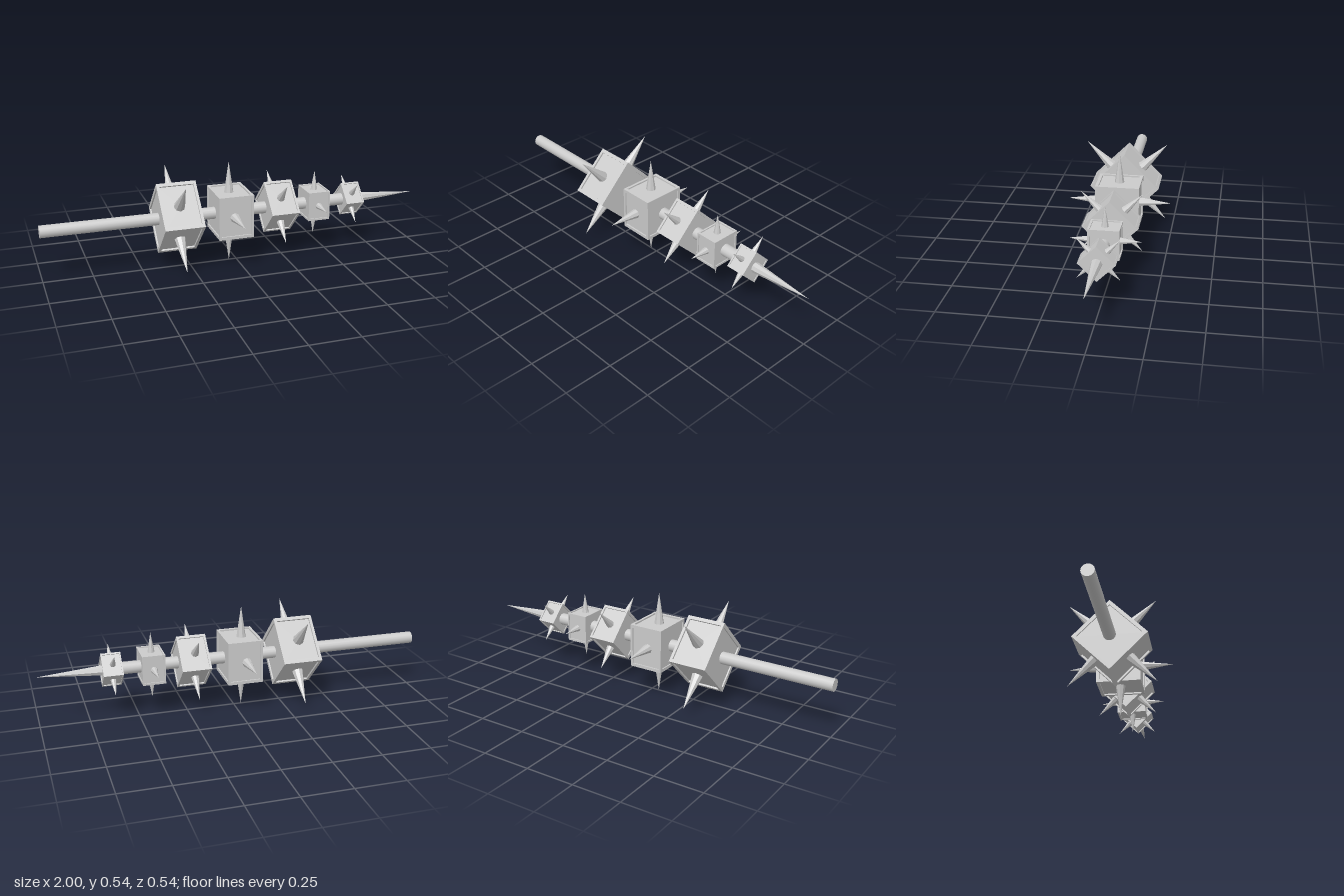
import * as THREE from 'three';

const material = new THREE.MeshStandardMaterial({ color: 0xcccccc });
const flat = new THREE.MeshStandardMaterial({ color: 0xcccccc, flatShading: true });

// Unit block whose six faces each have a shallow recessed panel
function panelBlock() {
  const inset = 0.07, depth = 0.035;
  const rings = [[0.5, 0.5], [0.5 - inset, 0.5], [0.5 - inset, 0.5 - depth], [0, 0.5 - depth]];
  const signs = [[-1, -1], [1, -1], [1, 1], [-1, 1]];
  const turns = [
    [0, 0], [0, Math.PI / 2], [0, Math.PI], [0, -Math.PI / 2], [Math.PI / 2, 0], [-Math.PI / 2, 0],
  ];
  const points = [];
  for (const [rx, ry] of turns) {
    const turn = new THREE.Euler(rx, ry, 0);
    const corner = (ring, k) => {
      const [size, z] = rings[ring], [sx, sy] = signs[k % 4];
      return new THREE.Vector3(sx * size, sy * size, z).applyEuler(turn).toArray();
    };
    for (let r = 0; r < 3; r++) {
      for (let k = 0; k < 4; k++) {
        const a = corner(r, k), b = corner(r, k + 1), c = corner(r + 1, k + 1), d = corner(r + 1, k);
        points.push(...a, ...b, ...c);
        if (rings[r + 1][0] > 0) points.push(...a, ...c, ...d);
      }
    }
  }
  const geometry = new THREE.BufferGeometry();
  geometry.setAttribute('position', new THREE.Float32BufferAttribute(points, 3));
  geometry.computeVertexNormals();
  return geometry;
}

function addMesh(parent, name, geometry, mat) {
  const mesh = new THREE.Mesh(geometry, mat);
  mesh.name = name;
  parent.add(mesh);
  return mesh;
}

export function createModel() {
  const model = new THREE.Group();
  model.name = 'spikedShaft';
  const axis = new THREE.Group();
  axis.name = 'shaftAssembly';
  axis.position.set(0, 0.27, 0.002);
  model.add(axis);

  // Shaft running through all the blocks
  const rod = addMesh(axis, 'rod', new THREE.CylinderGeometry(0.031, 0.031, 1.62, 16), material);
  rod.rotation.z = -Math.PI / 2;
  rod.position.x = -0.19;

  // Long point at the end
  const point = addMesh(axis, 'tip', new THREE.ConeGeometry(0.028, 0.33, 8), flat);
  point.rotation.z = -Math.PI / 2;
  point.position.x = 0.835;

  // Shrinking blocks, every other one turned by 45 degrees
  const blocks = [
    { x: -0.316, spikeX: -0.321, length: 0.203, side: 0.26, reach: 0.307, radius: 0.029 },
    { x: -0.032, spikeX: -0.04, length: 0.182, side: 0.225, reach: 0.268, radius: 0.025 },
    { x: 0.225, spikeX: 0.22, length: 0.15, side: 0.195, reach: 0.216, radius: 0.021 },
    { x: 0.431, spikeX: 0.43, length: 0.117, side: 0.153, reach: 0.174, radius: 0.018 },
    { x: 0.633, spikeX: 0.63, length: 0.099, side: 0.125, reach: 0.145, radius: 0.015 },
  ];
  const blockGeometry = panelBlock();
  blocks.forEach((b, i) => {
    const group = new THREE.Group();
    group.name = 'spikedBlock' + (i + 1);
    group.rotation.x = i % 2 === 0 ? Math.PI / 4 : 0;
    axis.add(group);

    const block = addMesh(group, 'block', blockGeometry, material);
    block.scale.set(b.length, b.side, b.side);
    block.position.x = b.x;

    // One spike on each of the four side faces
    const base = b.side * 0.46;
    const spike = new THREE.ConeGeometry(b.radius, b.reach - base, 8);
    spike.translate(0, (b.reach + base) / 2, 0);
    for (let k = 0; k < 4; k++) {
      const mesh = addMesh(group, 'spike', spike, flat);
      mesh.position.x = b.spikeX;
      mesh.rotation.x = k * Math.PI / 2;
    }
  });
  return model;
}
